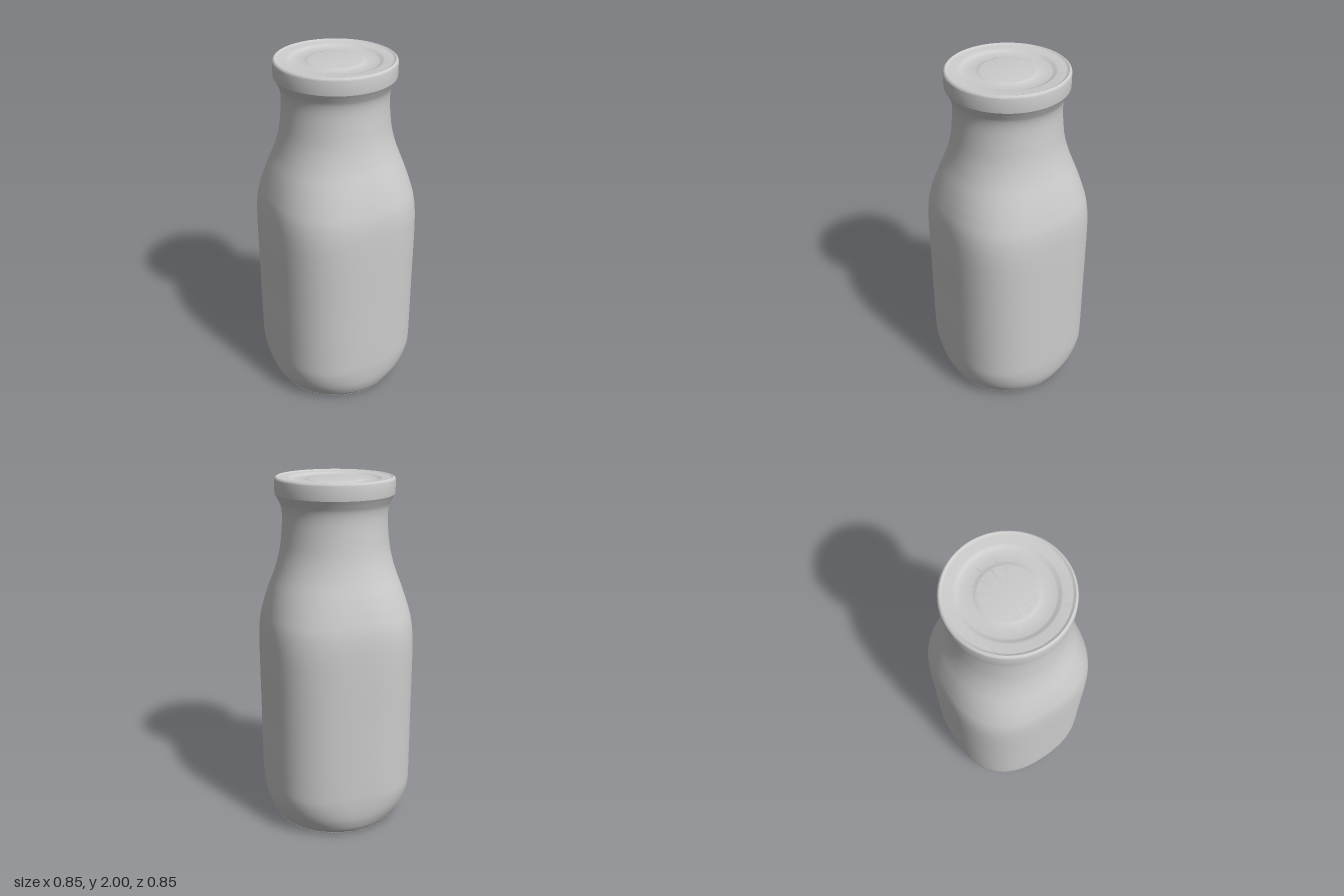
import * as THREE from 'three';
import { mergeGeometries, toCreasedNormals } from 'three/addons/utils/BufferGeometryUtils.js';

const { smoothstep } = THREE.MathUtils;
const points = (list) => list.map(([r, y]) => new THREE.Vector2(r, y));

// Squareness of the cross-section: round at base and neck, rounded square between
const squareness = (y) => 2 + 0.65 * smoothstep(y, 0, 0.25) * (1 - smoothstep(y, 1.05, 1.65));

function squareOff(geometry) {
  const p = geometry.attributes.position;
  for (let i = 0; i < p.count; i++) {
    const x = p.getX(i), y = p.getY(i), z = p.getZ(i);
    const r = Math.hypot(x, z);
    if (r < 1e-6) continue;
    const n = squareness(y);
    const k = (Math.abs(x / r) ** n + Math.abs(z / r) ** n) ** (-1 / n);
    p.setXYZ(i, x * k, y, z * k);
  }
  return geometry;
}

export function createModel() {
  const group = new THREE.Group();
  const grey = new THREE.MeshStandardMaterial({ color: 0xcccccc });
  grey.name = 'lightGrey';
  const add = (name, geometry) => {
    const mesh = new THREE.Mesh(geometry, grey);
    mesh.name = name;
    group.add(mesh);
  };

  // Bottle wall, from the heel up to the underside of the cap
  const wall = new THREE.SplineCurve(points([
    [0.362, 0.01], [0.385, 0.045], [0.408, 0.11], [0.419, 0.2], [0.422, 0.32],
    [0.422, 0.7], [0.422, 1.04], [0.415, 1.2], [0.395, 1.3], [0.366, 1.4],
    [0.332, 1.5], [0.307, 1.6], [0.294, 1.7], [0.289, 1.79], [0.295, 1.845],
    [0.31, 1.88], [0.326, 1.91],
  ])).getPoints(80);
  add('bottleWall', toCreasedNormals(squareOff(new THREE.LatheGeometry(wall, 96)), 0.6));

  // Bottle base with a shallow hollow
  add('base', toCreasedNormals(new THREE.LatheGeometry(points([
    [0, 0.03], [0.15, 0.027], [0.27, 0.018], [0.318, 0.01], [0.362, 0.01],
  ]), 96), 0.6));

  // Rings of small grip beads under the base
  const beads = [];
  for (const [ring, radius] of [0.327, 0.342, 0.357].entries()) {
    const count = 120;
    for (let i = 0; i < count; i++) {
      const a = ((i + ring * 0.5) / count) * Math.PI * 2;
      beads.push(new THREE.SphereGeometry(0.0075, 6, 4)
        .scale(1, 1.33, 1)
        .translate(radius * Math.sin(a), 0.01, radius * Math.cos(a)));
    }
  }
  add('baseBeads', mergeGeometries(beads));

  // Cap: rolled rim, stepped-down channel and raised centre
  add('cap', toCreasedNormals(new THREE.LatheGeometry(points([
    [0.326, 1.91], [0.327, 1.925], [0.327, 1.985], [0.325, 1.993], [0.32, 1.998],
    [0.315, 2], [0.31, 1.998], [0.306, 1.994], [0.3, 1.993], [0.255, 1.993],
    [0.247, 1.991], [0.236, 1.984], [0.226, 1.981], [0.165, 1.981],
    [0.157, 1.983], [0.148, 1.987], [0.14, 1.988], [0, 1.988],
  ]), 96), 0.7));

  return group;
}
